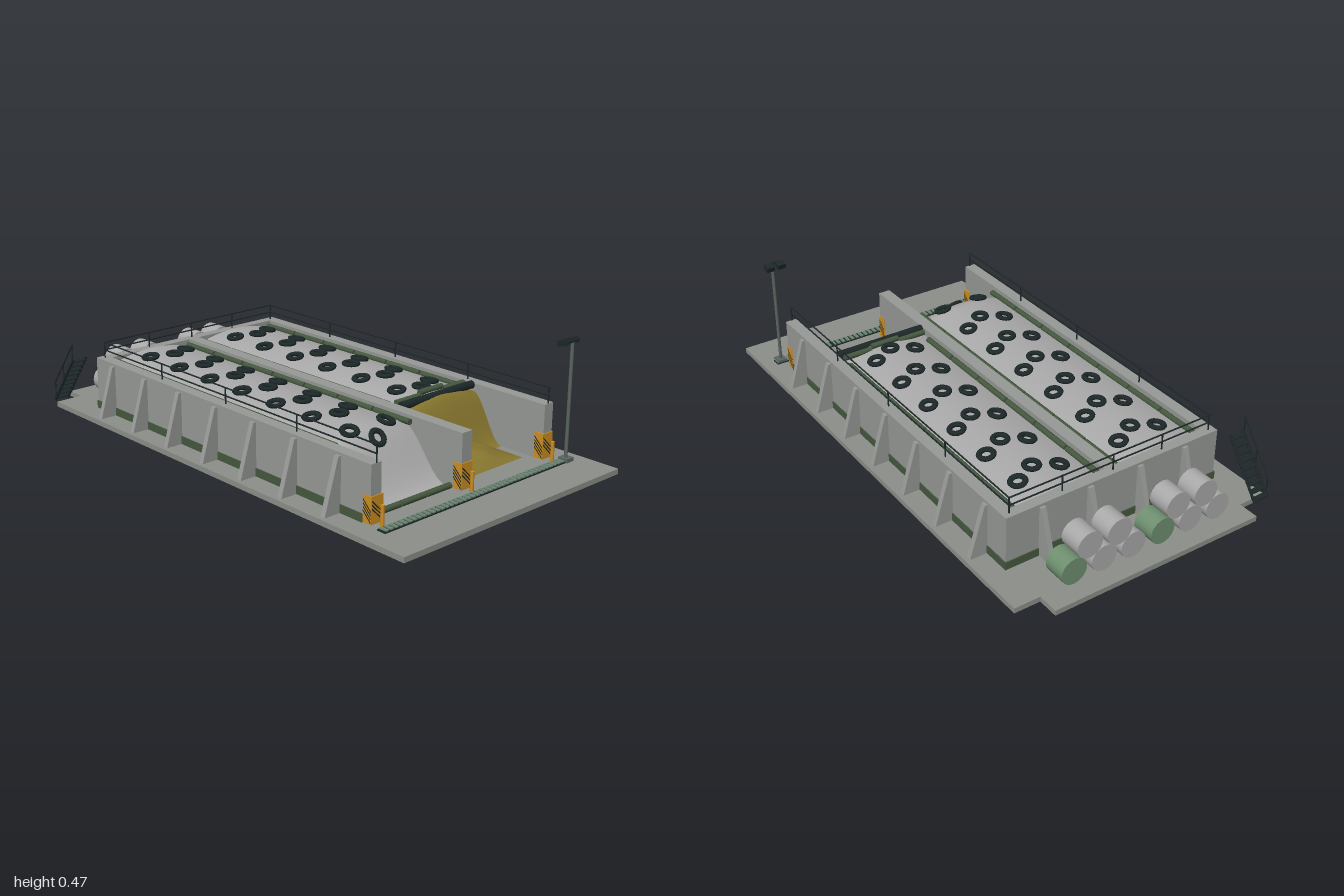
import * as THREE from 'three';

const mat = (name, color, side = THREE.FrontSide) => {
  const m = new THREE.MeshStandardMaterial({ color, side });
  m.name = name;
  return m;
};

export function createModel() {
  const root = new THREE.Group();
  root.name = 'bunkerSilo';
  const M = {
    slab: mat('slab concrete', 0x8d908a),
    wall: mat('wall concrete', 0x989a98),
    tarp: mat('tarp grey', 0xa9aaa9, THREE.DoubleSide),
    green: mat('dark green', 0x46583f),
    dark: mat('rubber black', 0x1d2829),
    silage: mat('silage', 0x87762f, THREE.DoubleSide),
    orange: mat('warning orange', 0xcf8f20),
    bale: mat('bale green', 0x6f9070),
    steel: mat('steel', 0x5c6662),
    grate: mat('grate green', 0x6d8573),
  };
  const add = (name, geo, m, x = 0, y = 0, z = 0, parent = root) => {
    const mesh = new THREE.Mesh(geo, m);
    mesh.name = name;
    mesh.position.set(x, y, z);
    parent.add(mesh);
    return mesh;
  };
  // box given by its limits
  const box = (name, m, x0, x1, y0, y1, z0, z1, parent = root) =>
    add(name, new THREE.BoxGeometry(x1 - x0, y1 - y0, z1 - z0), m,
      (x0 + x1) / 2, (y0 + y1) / 2, (z0 + z1) / 2, parent);
  // round bar between two points
  const rod = (name, m, a, b, r = 0.0028, parent = root) => {
    const p = new THREE.Vector3(...a), q = new THREE.Vector3(...b), d = q.clone().sub(p);
    const mesh = add(name, new THREE.CylinderGeometry(r, r, d.length(), 8), m, 0, 0, 0, parent);
    mesh.position.copy(p).add(q).multiplyScalar(0.5);
    mesh.quaternion.setFromUnitVectors(new THREE.Vector3(0, 1, 0), d.normalize());
    return mesh;
  };
  const F = 0.02, TOP = 0.225;

  // Base slab with two notched corners
  const s = new THREE.Shape([[-0.92, -0.53], [1, -0.53], [1, 0.53], [-0.92, 0.53],
    [-0.92, 0.43], [-1, 0.43], [-1, -0.42], [-0.92, -0.42]].map(p => new THREE.Vector2(...p)));
  const slabGeo = new THREE.ExtrudeGeometry(s, { depth: F, bevelEnabled: false });
  slabGeo.rotateX(-Math.PI / 2);
  add('slab', slabGeo, M.slab);

  // Walls with green base bands
  box('centreWall', M.wall, -0.72, 0.77, F, TOP, -0.022, 0.026);
  box('backWall', M.wall, -0.75, -0.71, F, TOP, -0.445, 0.445);
  box('backBand', M.green, -0.754, -0.748, F, 0.05, -0.449, 0.449);
  for (const k of [-1, 1]) {
    const z = [0.4 * k, 0.445 * k].sort((a, b) => a - b);
    box('sideWall', M.wall, -0.75, 0.77, F, TOP, z[0], z[1]);
    box('sideBand', M.green, -0.754, 0.735, F, 0.05, 0.4465 * k - 0.0025, 0.4465 * k + 0.0025);
  }

  // Tapered buttresses
  const bs = new THREE.Shape([[0, F], [0.07, F], [0.012, 0.215], [0, 0.215]]
    .map(p => new THREE.Vector2(...p)));
  const bGeo = new THREE.ExtrudeGeometry(bs, { depth: 0.02, bevelEnabled: false });
  bGeo.translate(0, 0, -0.01);
  for (let i = 0; i < 7; i++) for (const k of [-1, 1])
    add('buttress', bGeo, M.wall, -0.637 + 0.21 * i, 0, 0.444 * k).rotation.y = -k * Math.PI / 2;
  for (const z of [-0.305, -0.11, 0.1, 0.295])
    add('backButtress', bGeo, M.wall, -0.748, 0, z).rotation.y = Math.PI;

  // Crowned heaps: full height up to x0, sloping to the floor at x1
  const heap = (zc, x0, x1) => (x, z) => {
    const c = 0.175 + 0.032 * (1 - ((z - zc) / 0.188) ** 2);
    return F + c * (1 - THREE.MathUtils.smoothstep(x, x0, x1));
  };
  const field = (name, m, f, x0, x1, z0, z1, nx, nz) => {
    const g = new THREE.PlaneGeometry(x1 - x0, z1 - z0, nx, nz);
    g.rotateX(-Math.PI / 2);
    g.translate((x0 + x1) / 2, 0, (z0 + z1) / 2);
    const p = g.attributes.position;
    for (let i = 0; i < p.count; i++) p.setY(i, f(p.getX(i), p.getZ(i)));
    g.computeVertexNormals();
    return add(name, g, m);
  };
  const hL = heap(0.213, 0.5, 0.7), hR = heap(-0.211, 0.44, 0.58);
  field('closedTarp', M.tarp, hL, -0.71, 0.71, 0.026, 0.4, 60, 16);
  field('openTarp', M.tarp, hR, -0.71, 0.425, -0.4, -0.022, 20, 16);
  field('silageFace', M.silage, hR, 0.425, 0.585, -0.4, -0.022, 20, 16);
  // Loose pile in front of the cut face
  field('loosePile', M.silage, (x, z) => {
    const u = (x - 0.57) / 0.14, v = (z + 0.21) / 0.155;
    const lump = 0.004 * Math.sin(x * 55) * Math.sin(z * 60);
    return F - 0.002 + (0.055 + lump) * Math.max(0, 1 - u * u) * Math.max(0, 1 - v * v) ** 1.3 + 0.003;
  }, 0.46, 0.71, -0.365, -0.055, 16, 20);

  // Tyres lying on the tarps
  const tyreGeo = new THREE.TorusGeometry(0.0255, 0.0105, 8, 18);
  tyreGeo.rotateX(Math.PI / 2);
  tyreGeo.scale(1, 0.8, 1);
  const tyre = (f, x, z) => {
    const e = 0.015;
    const n = new THREE.Vector3((f(x - e, z) - f(x + e, z)) / (2 * e), 1,
      (f(x, z - e) - f(x, z + e)) / (2 * e)).normalize();
    add('tyre', tyreGeo, M.dark, x, f(x, z) + 0.007, z)
      .quaternion.setFromUnitVectors(new THREE.Vector3(0, 1, 0), n);
  };
  for (let i = 0; i < 7; i++) {
    for (const z of [0.12, 0.29]) tyre(hL, -0.61 + 0.1865 * i, z);
    tyre(hL, -0.567 + 0.187 * i, 0.205);
    if (i > 5) continue;
    for (const z of [-0.3, -0.13]) tyre(hR, -0.608 + 0.184 * i, z);
    tyre(hR, -0.567 + 0.184 * i, -0.215);
  }

  // Sandbags along the tarp edges
  const bagX = new THREE.CylinderGeometry(0.011, 0.011, 0.17, 10).rotateZ(Math.PI / 2);
  for (let i = 0; i < 7; i++) {
    for (const z of [0.04, 0.383]) add('sandbag', bagX, M.green, -0.615 + 0.179 * i, 0.207, z);
    if (i < 6) for (const z of [-0.383, -0.038])
      add('sandbag', bagX, M.green, -0.615 + 0.179 * i, 0.207, z);
  }
  const bagZ = new THREE.CylinderGeometry(0.011, 0.011, 0.115, 10).rotateX(Math.PI / 2);
  for (let i = -1; i <= 1; i++) {
    add('frontSandbag', bagZ, M.green, 0.73, F + 0.012, 0.213 + 0.12 * i);
    add('faceSandbag', bagZ, M.green, 0.402, i ? 0.222 : 0.234, -0.211 + 0.118 * i);
  }
  // Rolled-back cover above the cut face
  rod('coverRoll', M.dark, [0.435, 0.22, -0.395], [0.435, 0.22, -0.027], 0.016);

  // Guard rails on the outer walls
  for (const y of [0.255, 0.285]) {
    for (const z of [-0.42, 0.42]) rod('rail', M.dark, [-0.73, y, z], [0.768, y, z]);
    rod('backRail', M.dark, [-0.73, y, -0.42], [-0.73, y, 0.42]);
  }
  for (let i = 0; i < 5; i++) {
    for (const z of [-0.42, 0.42])
      rod('railPost', M.dark, [-0.73 + 0.3745 * i, TOP, z], [-0.73 + 0.3745 * i, 0.287, z]);
    if (i > 0 && i < 4)
      rod('railPost', M.dark, [-0.73, TOP, -0.42 + 0.21 * i], [-0.73, 0.287, -0.42 + 0.21 * i]);
  }

  // Striped guards on the wall ends, each with a small bollard
  const stripes = (w, h) => {
    const shapes = [];
    for (let y = 0; y + w + 0.006 <= h; y += 0.013)
      shapes.push(new THREE.Shape([[-w / 2, y + w], [w / 2, y], [w / 2, y + 0.006], [-w / 2, y + w + 0.006]]
        .map(p => new THREE.Vector2(...p))));
    return new THREE.ShapeGeometry(shapes);
  };
  const endStripes = stripes(0.05, 0.092), sideStripes = stripes(0.036, 0.092);
  for (const z of [-0.42, 0.002, 0.42]) {
    box('endGuard', M.orange, 0.736, 0.774, 0.024, 0.118, z - 0.0265, z + 0.0265);
    add('endStripes', endStripes, M.dark, 0.775, 0.025, z).rotation.y = Math.PI / 2;
    add('sideStripes', sideStripes, M.dark, 0.755, 0.025, z + 0.0275);
    add('sideStripes', sideStripes, M.dark, 0.755, 0.025, z - 0.0275).rotation.y = Math.PI;
    rod('bollard', M.orange, [0.797, F, z], [0.797, 0.092, z], 0.007);
  }

  // Drain channel with slats
  box('drainFrame', M.dark, 0.808, 0.845, F, 0.024, -0.48, 0.455);
  for (let i = 0; i < 44; i++)
    box('drainSlat', M.grate, 0.811, 0.842, 0.024, 0.028, -0.477 + 0.0212 * i, -0.464 + 0.0212 * i);

  // Stacked round bales behind the back wall
  const baleGeo = new THREE.CylinderGeometry(0.05, 0.05, 0.086, 20).rotateZ(Math.PI / 2);
  for (const z of [-0.305, 0.06]) {
    for (let i = 0; i < 3; i++)
      add('bale', baleGeo, i ? M.tarp : M.bale, -0.887, 0.07, z + 0.12 * i);
    for (let i = 0; i < 2; i++) add('topBale', baleGeo, M.tarp, -0.887, 0.149, z + 0.06 + 0.12 * i);
  }

  // Steep access stair with a single handrail
  const stair = new THREE.Group();
  stair.name = 'stair';
  root.add(stair);
  for (const z of [0.464, 0.522])
    rod('stringer', M.dark, [-0.945, F, z], [-0.795, 0.222, z], 0.005, stair);
  for (let i = 0; i < 9; i++) {
    const t = (i + 0.5) / 9, x = -0.945 + 0.15 * t, y = F + 0.2 * t;
    box('tread', M.dark, x - 0.011, x + 0.011, y - 0.002, y + 0.002, 0.464, 0.522, stair);
  }
  rod('handrail', M.dark, [-0.945, 0.085, 0.524], [-0.795, 0.282, 0.524], 0.0025, stair);
  for (const [x, y] of [[-0.935, 0.033], [-0.87, 0.12], [-0.8, 0.213]])
    rod('handrailPost', M.dark, [x, y, 0.524], [x, y + 0.065, 0.524], 0.0025, stair);

  // Floodlight mast
  const mast = new THREE.Group();
  mast.name = 'floodlightMast';
  root.add(mast);
  box('mastBase', M.steel, 0.81, 0.85, F, 0.034, -0.475, -0.437, mast);
  rod('mastPole', M.steel, [0.83, F, -0.455], [0.83, 0.46, -0.455], 0.0065, mast);
  box('crossArm', M.dark, 0.824, 0.836, 0.455, 0.463, -0.488, -0.412, mast);
  for (const z of [-0.475, -0.428]) {
    const lamp = box('floodlight', M.dark, 0.798, 0.828, 0.444, 0.464, z - 0.016, z + 0.016, mast);
    lamp.rotation.z = 0.25;
  }
  return root;
}
